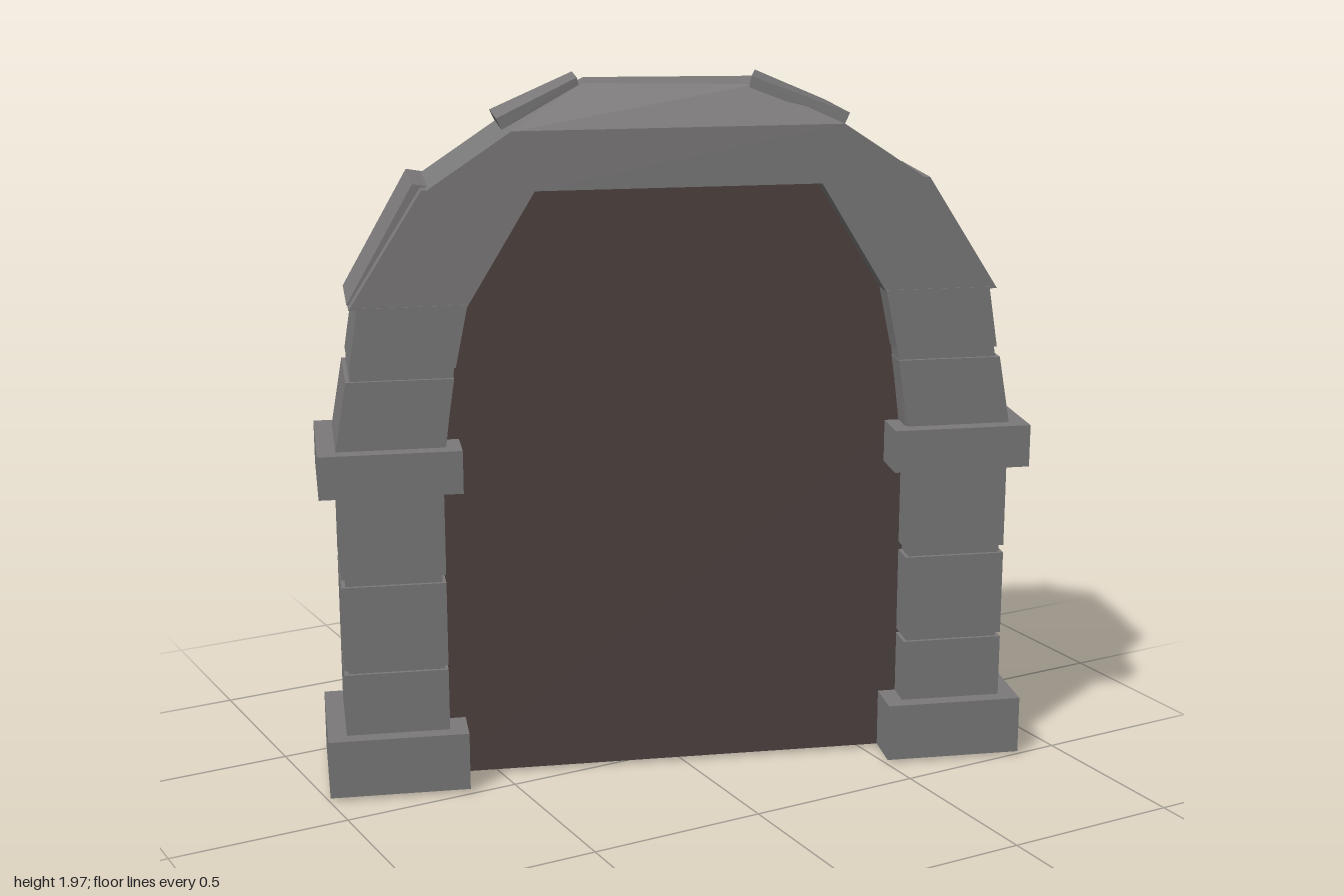
import * as THREE from 'three';
import { ConvexGeometry } from 'three/addons/geometries/ConvexGeometry.js';

export function createModel() {
  const model = new THREE.Group();
  model.name = 'archedDoor';
  const mat = (name, color) => {
    const m = new THREE.MeshStandardMaterial({ color });
    m.name = name;
    return m;
  };
  const stone = mat('stone', 0x7b7979);
  const wood = mat('wood', 0x4e4340);
  const brass = mat('brass', 0xdcc800);
  // The whole door is turned about the vertical axis
  const door = new THREE.Group();
  door.name = 'door';
  door.rotation.y = -0.33;
  model.add(door);

  const add = (name, geometry, material) => {
    const mesh = new THREE.Mesh(geometry, material);
    mesh.name = name;
    door.add(mesh);
    return mesh;
  };
  // Box from its limits in x, y and z
  const box = (name, x0, x1, y0, y1, z0, z1, material) => {
    const g = new THREE.BoxGeometry(x1 - x0, y1 - y0, z1 - z0);
    g.translate((x0 + x1) / 2, (y0 + y1) / 2, (z0 + z1) / 2);
    return add(name, g, material);
  };
  // Outline in x, y extruded from z0 to z1
  const prism = (name, points, z0, z1, material) => {
    const shape = new THREE.Shape(points.map(([x, y]) => new THREE.Vector2(x, y)));
    const g = new THREE.ExtrudeGeometry(shape, { depth: z1 - z0, bevelEnabled: false });
    g.translate(0, 0, z0);
    return add(name, g, material);
  };
  const hull = (name, points, material) =>
    add(name, new ConvexGeometry(points.map((p) => new THREE.Vector3(...p))), material);

  // Posts and curved shoulders, mirrored
  for (const s of [-1, 1]) {
    const side = s > 0 ? 'left' : 'right';
    const sbox = (name, x0, x1, ...rest) =>
      box(side + name, Math.min(s * x0, s * x1), Math.max(s * x0, s * x1), ...rest, stone);
    sbox('Foot', 0.6, 0.988, 0.01, 0.175, -0.195, 0.195);
    sbox('Capital', 0.6, 0.988, 0.87, 0.99, -0.195, 0.195);
    sbox('PostCore', 0.66, 0.925, 0.1, 0.9, -0.14, 0.142);
    for (const [y0, y1] of [[0.17, 0.352], [0.365, 0.605], [0.628, 0.88]]) {
      sbox('PostBlock', 0.65, 0.936, y0, y1, -0.148, 0.152);
    }
    const block = (name, pts, z0, z1) =>
      prism(side + name, pts.map(([x, y]) => [s * x, y]), z0, z1, stone);
    block('ArchCore', [[0.645, 0.95], [0.93, 0.95], [0.86, 1.4], [0.59, 1.4]], -0.14, 0.142);
    block('LowerArchBlock', [[0.645, 0.98], [0.94, 0.98], [0.905, 1.18], [0.615, 1.18]], -0.148, 0.152);
    block('MiddleArchBlock', [[0.61, 1.21], [0.895, 1.21], [0.868, 1.38], [0.575, 1.38]], -0.148, 0.152);
    block('UpperArchBlock', [[0.575, 1.375], [0.89, 1.375], [0.69, 1.69], [0.39, 1.68]], -0.148, 0.15);
  }

  // Arch crown
  prism('crown', [[-0.39, 1.68], [0.39, 1.68], [0.69, 1.68], [0.45, 1.84], [-0.45, 1.84], [-0.69, 1.68]],
    -0.148, 0.15, stone);
  // Skewed roof of the arch
  hull('crownTop', [
    [-0.45, 1.839, 0.15], [0.45, 1.839, 0.15], [0.45, 1.839, -0.148], [-0.45, 1.839, -0.148],
    [-0.24, 1.945, 0], [0.22, 1.945, 0.1], [0.24, 1.95, -0.05], [-0.22, 1.945, -0.14],
  ], stone);
  // Tilted slabs lying on the crown: four upper corners given a thickness
  const slab = (name, corners, t) =>
    hull(name, [...corners, ...corners.map(([x, y, z]) => [x * 0.97, y - t, z])], stone);
  slab('leftCrownSlab', [[0.2, 1.968, 0.11], [0.24, 1.968, -0.04], [0.465, 1.868, -0.148], [0.465, 1.868, 0.14]], 0.03);
  slab('rightCrownSlab', [[-0.255, 1.96, -0.005], [-0.25, 1.96, -0.15], [-0.48, 1.862, -0.14], [-0.48, 1.862, 0.053]], 0.03);

  // Raised slabs on the back of the shoulders
  prism('leftInnerBackSlab', [[0.55, 1.36], [0.63, 1.36], [0.51, 1.63], [0.44, 1.63]], -0.19, -0.14, stone);
  prism('leftLowerBackSlab', [[0.67, 1.06], [0.75, 1.06], [0.73, 1.36], [0.65, 1.36]], -0.185, -0.14, stone);
  prism('rightOuterBackSlab', [[-0.83, 1.38], [-0.893, 1.38], [-0.71, 1.7], [-0.65, 1.69]], -0.17, 0.1, stone);

  // Wooden door leaf
  prism('doorLeaf', [[-0.67, 0.01], [0.67, 0.01], [0.66, 0.99], [0.6, 1.37], [0.41, 1.69],
    [-0.41, 1.69], [-0.6, 1.37], [-0.66, 0.99]], -0.06, 0.07, wood);
  // Horizontal battens between plank rows on the back
  for (const [y, half] of [[0.35, 0.66], [0.615, 0.66], [0.745, 0.66], [1, 0.65], [1.205, 0.62], [1.365, 0.59]]) {
    box('rowBatten', -half, half, y - 0.014, y + 0.014, -0.08, -0.05, wood);
  }
  // Upright battens: x at bottom, x at top, bottom, top
  for (const [xa, xb, y0, y1] of [
    [-0.34, -0.34, 0, 0.34], [-0.02, -0.02, 0, 0.34], [0.48, 0.48, 0, 0.34],
    [0.33, 0.33, 0.36, 0.6], [-0.07, -0.07, 0.63, 0.74],
    [0.16, 0.16, 1.21, 1.36], [-0.41, -0.41, 1.21, 1.36],
    [0.36, 0.22, 1.37, 1.68], [-0.25, -0.1, 1.37, 1.68],
  ]) {
    prism('uprightBatten', [[xa - 0.017, y0], [xa + 0.017, y0], [xb + 0.017, y1], [xb - 0.017, y1]], -0.078, -0.05, wood);
  }

  // Handle mount and open ring
  box('handlePlate', -0.46, -0.2, 0.75, 0.99, -0.115, -0.05, wood);
  box('handleBlock', -0.41, -0.26, 0.76, 0.89, -0.205, -0.1, wood);
  const ring = add('handleRing', new THREE.TorusGeometry(0.112, 0.02, 8, 24, Math.PI * 1.4), brass);
  ring.rotation.z = Math.PI * 0.8;
  ring.position.set(-0.335, 0.7, -0.19);
  return model;
}
